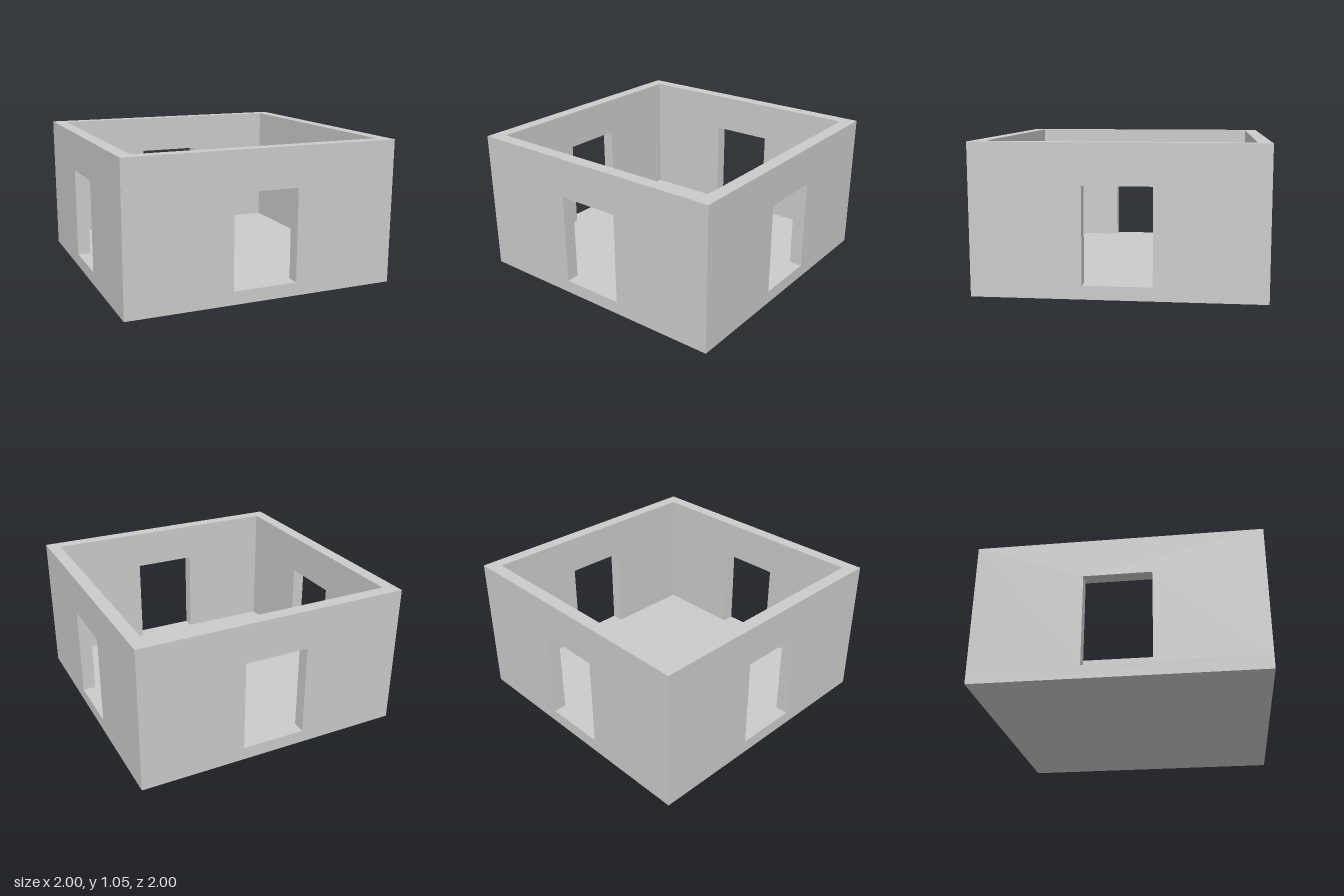
import * as THREE from 'three';

const HALF = 1, HEIGHT = 1.05, WALL = 0.095, FLOOR = 0.095;
const DOOR_HALF = 0.237, DOOR_TOP = 0.765;

// One wall with a doorway open down to the floor, its ends mitred at the corners
function wallGeometry() {
  const outline = new THREE.Shape([
    [-HALF, FLOOR], [-DOOR_HALF, FLOOR], [-DOOR_HALF, DOOR_TOP], [DOOR_HALF, DOOR_TOP],
    [DOOR_HALF, FLOOR], [HALF, FLOOR], [HALF, HEIGHT], [-HALF, HEIGHT],
  ].map(([x, y]) => new THREE.Vector2(x, y)));
  const geometry = new THREE.ExtrudeGeometry(outline, { depth: WALL, bevelEnabled: false });
  geometry.translate(0, 0, HALF - WALL);
  const p = geometry.attributes.position;
  for (let i = 0; i < p.count; i++) {
    // Pull the inner end corners in to the 45 degree mitre
    if (Math.abs(p.getX(i)) > DOOR_HALF + 0.01) p.setX(i, Math.sign(p.getX(i)) * p.getZ(i));
  }
  geometry.computeVertexNormals();
  return geometry;
}

export function createModel() {
  const model = new THREE.Group();
  model.name = 'room';
  const material = new THREE.MeshStandardMaterial({ color: 0xcccccc });

  // Floor slab
  const floor = new THREE.Mesh(new THREE.BoxGeometry(2 * HALF, FLOOR, 2 * HALF), material);
  floor.name = 'floor';
  floor.position.y = FLOOR / 2;
  model.add(floor);

  // Four identical walls around the slab
  const geometry = wallGeometry();
  ['frontWall', 'leftWall', 'backWall', 'rightWall'].forEach((name, i) => {
    const wall = new THREE.Mesh(geometry, material);
    wall.name = name;
    wall.rotation.y = i * Math.PI / 2;
    model.add(wall);
  });
  return model;
}
